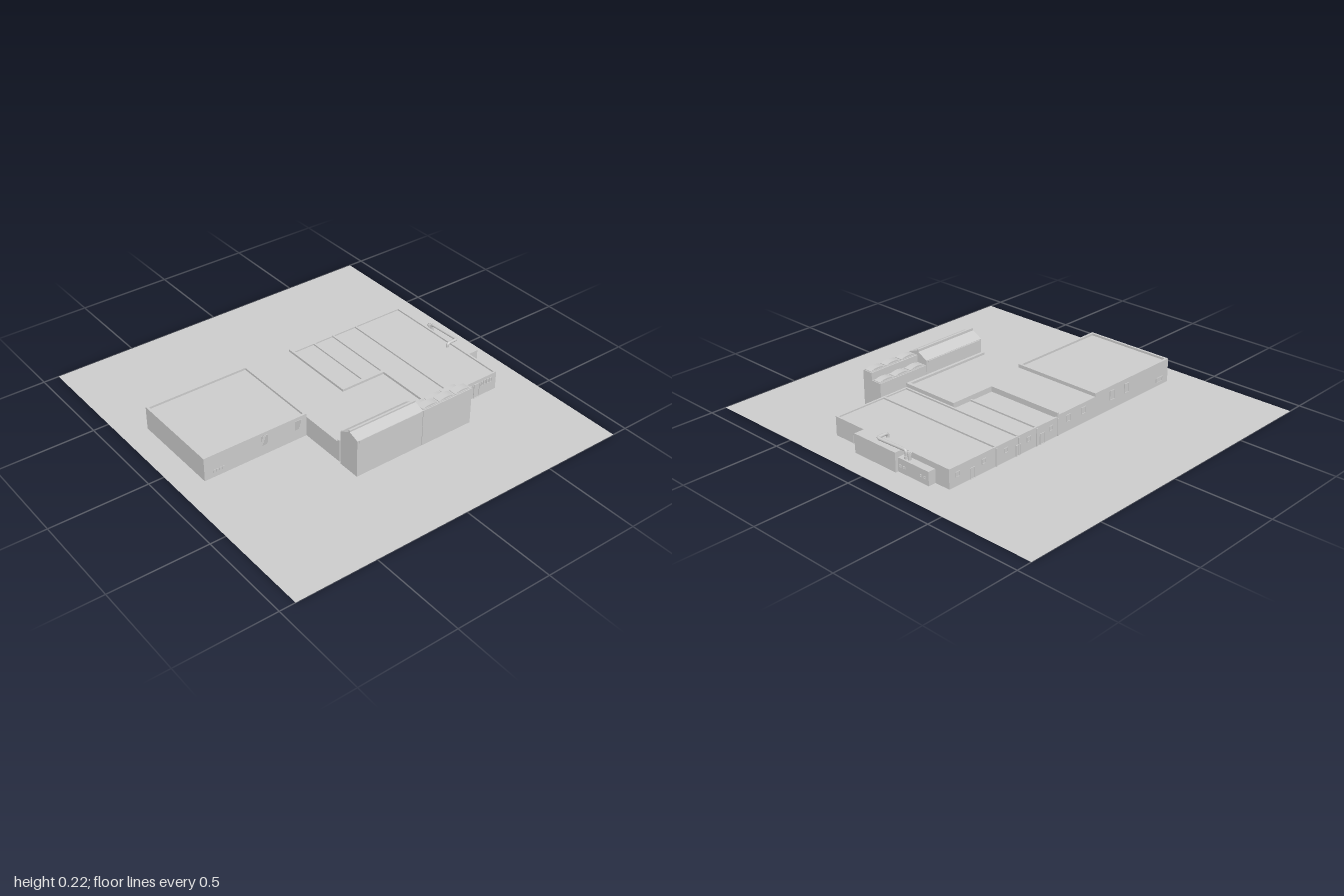
import * as THREE from 'three';

const grey = new THREE.MeshStandardMaterial({ color: 0xcccccc, flatShading: true, side: THREE.DoubleSide });
const smooth = new THREE.MeshStandardMaterial({ color: 0xcccccc });

function add(parent, name, geometry, material = grey) {
  const mesh = new THREE.Mesh(geometry, material);
  mesh.name = name;
  parent.add(mesh);
  return mesh;
}

// Box given by its limits on each axis
function box(parent, name, x0, x1, y0, y1, z0, z1) {
  const mesh = add(parent, name, new THREE.BoxGeometry(x1 - x0, y1 - y0, z1 - z0));
  mesh.position.set((x0 + x1) / 2, (y0 + y1) / 2, (z0 + z1) / 2);
  return mesh;
}

// Profile of [z, y] points extruded along x
function prism(parent, name, x0, x1, points) {
  const shape = new THREE.Shape(points.map(([z, y]) => new THREE.Vector2(-z, y)));
  const geo = new THREE.ExtrudeGeometry(shape, { depth: x1 - x0, bevelEnabled: false });
  geo.rotateY(Math.PI / 2).translate(x0, 0, 0);
  return add(parent, name, geo);
}

// Framed opening centred on the local origin, base at y = 0, facing +z
function opening(parent, name, x, y, z, w, h, angle = 0, arched = false) {
  const outline = (s, width, height, y0) => {
    const r = width / 2;
    s.moveTo(-r, y0).lineTo(r, y0);
    if (arched) s.lineTo(r, y0 + height - r).absarc(0, y0 + height - r, r, 0, Math.PI, false);
    else s.lineTo(r, y0 + height).lineTo(-r, y0 + height);
    s.closePath();
    return s;
  };
  const t = 0.002;
  const frame = outline(new THREE.Shape(), w, h, 0);
  frame.holes.push(outline(new THREE.Path(), w - 2 * t, h - 2 * t, t));
  const pane = outline(new THREE.Shape(), w - 2 * t, h - 2 * t, t);
  const group = new THREE.Group();
  group.name = name;
  add(group, 'frame', new THREE.ExtrudeGeometry(frame, { depth: 0.004, bevelEnabled: false, curveSegments: 6 }));
  add(group, 'pane', new THREE.ExtrudeGeometry(pane, { depth: 0.001, bevelEnabled: false, curveSegments: 6 }));
  group.position.set(x, y, z);
  group.rotation.y = angle;
  parent.add(group);
}

// Grille of horizontal or vertical bars on a +z wall
function grille(parent, x, y, z, w, h, columns) {
  for (let i = 0; i < columns; i++) {
    const x0 = x - w / 2 + (i * w) / columns;
    box(parent, 'grilleBar', x0, x0 + (w / columns) * 0.65, y, y + h, z, z + 0.003);
  }
}

export function createModel() {
  const model = new THREE.Group();
  model.name = 'factory';
  const section = (name) => {
    const g = new THREE.Group();
    g.name = name;
    model.add(g);
    return g;
  };

  // Ground sheet
  add(model, 'groundSheet', new THREE.PlaneGeometry(1.84, 2).rotateX(-Math.PI / 2));

  // West hall with a parapet on all sides
  const west = section('westHall');
  box(west, 'walls', -0.79, -0.225, 0, 0.113, -0.36, 0.135);
  const p = 0.012;
  box(west, 'parapet', -0.79, -0.225, 0.113, 0.124, 0.135 - p, 0.135);
  box(west, 'parapet', -0.79, -0.225, 0.113, 0.124, -0.36, -0.36 + p);
  box(west, 'parapet', -0.79, -0.79 + p, 0.113, 0.124, -0.36 + p, 0.135 - p);
  box(west, 'parapet', -0.225 - p, -0.225, 0.113, 0.124, -0.36 + p, 0.135 - p);
  grille(west, -0.71, 0.025, 0.135, 0.064, 0.016, 4);
  grille(west, -0.46, 0.055, 0.135, 0.036, 0.052, 6);
  grille(west, -0.27, 0.055, 0.135, 0.036, 0.052, 6);
  for (const x of [-0.35, -0.46]) opening(west, 'rearWindow', x, 0.05, -0.36, 0.035, 0.05, Math.PI);
  opening(west, 'rearVent', -0.72, 0.02, -0.36, 0.05, 0.025, Math.PI);

  // L-shaped middle hall
  const middle = section('middleHall');
  const plan = [[-0.225, -0.36], [0.045, -0.36], [0.045, 0.06], [0.30, 0.06], [0.30, 0.385], [-0.225, 0.385]];
  const lShape = new THREE.Shape(plan.map(([x, z]) => new THREE.Vector2(x, -z)));
  add(middle, 'walls', new THREE.ExtrudeGeometry(lShape, { depth: 0.106, bevelEnabled: false }).rotateX(-Math.PI / 2));
  box(middle, 'parapet', 0.033, 0.045, 0.106, 0.118, -0.36, 0.06);
  box(middle, 'parapet', 0.033, 0.30, 0.106, 0.118, 0.06, 0.078);
  box(middle, 'parapet', 0.282, 0.30, 0.106, 0.118, 0.078, 0.37);
  box(middle, 'parapet', -0.225, 0.30, 0.106, 0.118, 0.37, 0.385);
  for (const x of [-0.14, -0.03]) opening(middle, 'rearWindow', x, 0.05, -0.36, 0.03, 0.035, Math.PI);

  // East hall, its roof divided into bays by low ridges
  const east = section('eastHall');
  box(east, 'walls', 0.045, 0.74, 0, 0.09, -0.36, 0.06);
  box(east, 'walls', 0.30, 0.74, 0, 0.09, 0.06, 0.385);
  box(east, 'roofRidge', 0.18, 0.19, 0.09, 0.098, -0.36, 0.06);
  for (const x of [0.305, 0.45, 0.735]) box(east, 'roofRidge', x - 0.005, x + 0.005, 0.09, 0.098, -0.36, 0.385);
  box(east, 'frontParapet', 0.30, 0.74, 0.09, 0.097, 0.375, 0.385);
  box(east, 'rearParapet', 0.045, 0.74, 0.09, 0.097, -0.36, -0.352);
  opening(east, 'archedHatch', 0.473, 0.03, 0.385, 0.016, 0.027, 0, true);
  for (const x0 of [0.507, 0.648]) {
    const step = x0 < 0.6 ? 0.023 : 0.018;
    for (let i = 0; i < 4; i++) opening(east, 'frontWindow', x0 + i * step, 0.055, 0.385, 0.014, 0.025);
  }
  opening(east, 'frontDoor', 0.613, 0, 0.385, 0.036, 0.08);
  opening(east, 'sideDoor', 0.74, 0, 0.25, 0.026, 0.055, Math.PI / 2, true);
  for (const x of [0.04, 0.185, 0.305, 0.45]) box(east, 'downpipe', x - 0.004, x + 0.004, 0, 0.09, -0.364, -0.36);
  for (const x of [0.17, 0.33, 0.62]) opening(east, 'rearDoor', x - 0.02, 0, -0.36, 0.03, 0.055, Math.PI);
  for (const x of [0.09, 0.24, 0.39, 0.53, 0.69]) opening(east, 'rearWindow', x, 0.045, -0.36, 0.025, 0.025, Math.PI);

  // Two annexes on the east side
  const annex = section('eastAnnexes');
  box(annex, 'tallAnnex', 0.74, 0.795, 0, 0.098, -0.08, 0.19);
  box(annex, 'lowAnnex', 0.74, 0.78, 0, 0.07, -0.275, -0.08);
  for (const z of [-0.11, -0.24]) {
    for (const dz of [-0.012, 0.012]) opening(annex, 'smallVent', 0.78, 0.028, z + dz, 0.012, 0.012, Math.PI / 2);
  }

  // Roof duct rising from the low annex and bending on to the roof
  const duct = section('roofDuct');
  const path = new THREE.CurvePath();
  const corners = [[0.76, 0.07, -0.115], [0.76, 0.11, -0.115], [0.768, 0.11, 0.065], [0.705, 0.11, 0.067], [0.705, 0.088, 0.067]]
    .map((c) => new THREE.Vector3(...c));
  let from = corners[0];
  for (let i = 1; i < corners.length - 1; i++) {
    const c = corners[i];
    const a = c.clone().add(corners[i - 1].clone().sub(c).setLength(0.014));
    const b = c.clone().add(corners[i + 1].clone().sub(c).setLength(0.014));
    path.add(new THREE.LineCurve3(from, a));
    path.add(new THREE.QuadraticBezierCurve3(a, c, b));
    from = b;
  }
  path.add(new THREE.LineCurve3(from, corners[4]));
  add(duct, 'ductPipe', new THREE.TubeGeometry(path, 90, 0.008, 10), smooth);
  for (const z of [-0.115, -0.135]) {
    const collar = add(duct, 'ductCollar', new THREE.CylinderGeometry(0.011, 0.011, 0.012, 12));
    collar.position.set(0.76, z < -0.12 ? 0.1 : 0.076, z);
  }
  const stack = add(duct, 'ductStack', new THREE.CylinderGeometry(0.008, 0.008, 0.04, 10), smooth);
  stack.position.set(0.76, 0.09, -0.135);

  // Tall front block with a ridge roof
  const tall = section('tallFrontBlock');
  prism(tall, 'walls', -0.23, 0.15, [[0.40, 0], [0.52, 0], [0.52, 0.198], [0.465, 0.217], [0.40, 0.182]]);
  box(tall, 'ridgeCap', -0.23, 0.15, 0.195, 0.225, 0.456, 0.466);
  box(tall, 'frontGutter', -0.22, 0.14, 0.182, 0.198, 0.52, 0.523);
  box(tall, 'rearGutter', -0.22, 0.14, 0.172, 0.18, 0.394, 0.40);

  // Stepped skylight block: two rows of three arched lights
  const sky = section('skylightBlock');
  prism(sky, 'walls', 0.153, 0.45, [[0.40, 0], [0.52, 0], [0.52, 0.196], [0.46, 0.196], [0.46, 0.158], [0.40, 0.158]]);
  for (const [y, z0, z1] of [[0.196, 0.467, 0.515], [0.158, 0.405, 0.453]]) {
    for (let i = 0; i < 3; i++) {
      const x = 0.203 + i * 0.098;
      box(sky, 'skylightCurb', x - 0.046, x + 0.046, y, y + 0.003, z0, z1);
      const arc = new THREE.Shape();
      arc.moveTo(-0.043, 0).quadraticCurveTo(0, 0.018, 0.043, 0).closePath();
      const dome = new THREE.ExtrudeGeometry(arc, { depth: z1 - z0 - 0.008, bevelEnabled: false, curveSegments: 10 });
      add(sky, 'skylightDome', dome).position.set(x, y + 0.003, z0 + 0.004);
    }
  }

  return model;
}
